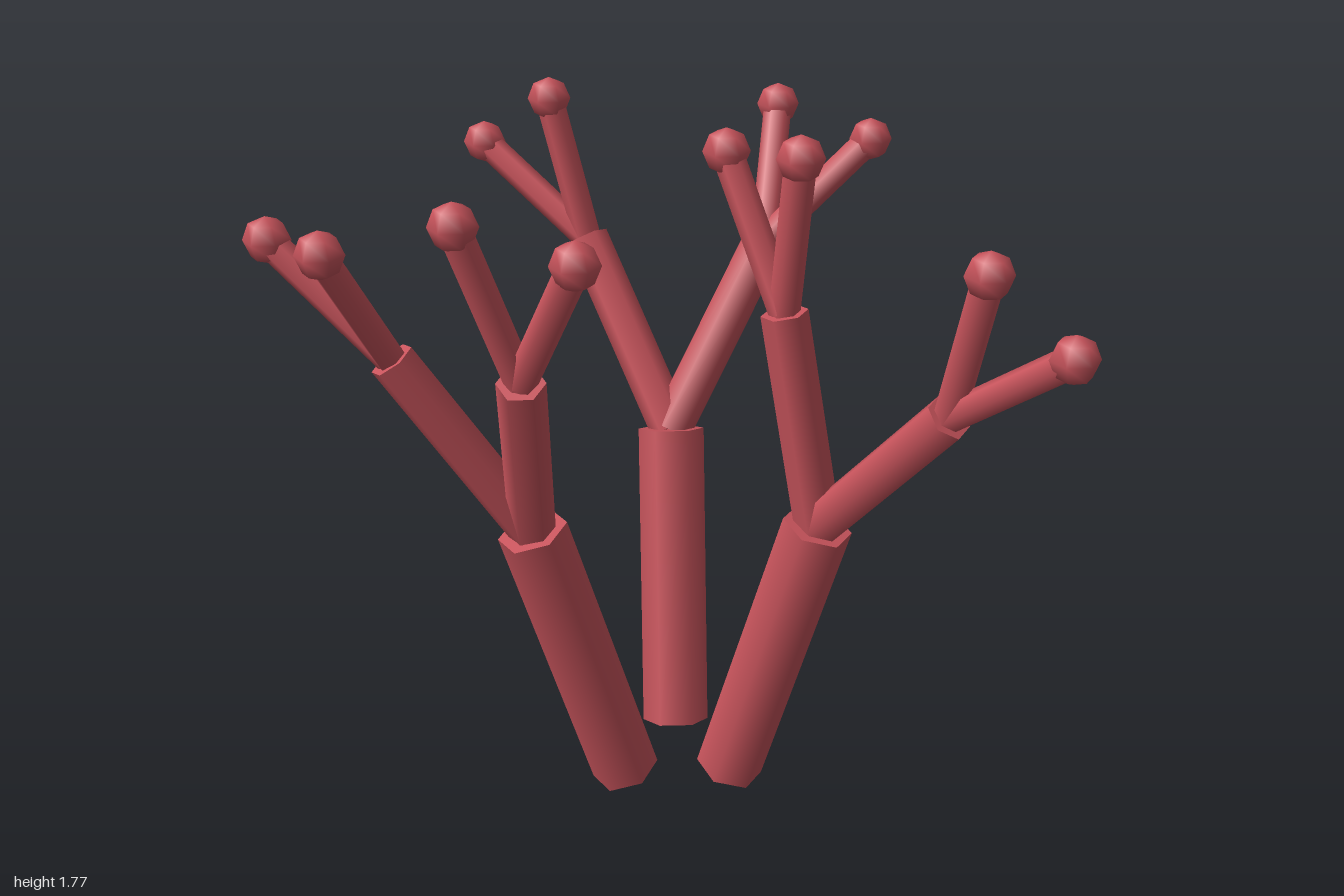
import * as THREE from 'three';

const UP = new THREE.Vector3(0, 1, 0);

export function createModel() {
  const coralRed = new THREE.MeshStandardMaterial({ color: 0xc8545c });
  coralRed.name = 'coralRed';
  const model = new THREE.Group();
  model.name = 'branchingCoral';

  // Six-sided limb running from point a to point b
  function limb(name, parent, a, b, radius) {
    const dir = b.clone().sub(a);
    const mesh = new THREE.Mesh(new THREE.CylinderGeometry(radius, radius, dir.length(), 6), coralRed);
    mesh.name = name;
    mesh.position.copy(a).add(b).multiplyScalar(0.5);
    mesh.quaternion.setFromUnitVectors(UP, dir.normalize());
    parent.add(mesh);
  }

  // Rounded polyp at the end of each twig
  const tipGeometry = new THREE.SphereGeometry(0.056, 6, 4).rotateY(Math.PI / 2);
  function tip(parent, p) {
    const mesh = new THREE.Mesh(tipGeometry, coralRed);
    mesh.name = 'tip';
    mesh.position.copy(p);
    parent.add(mesh);
  }

  // Each stem: its angle around the centre, and two forks with two tips each
  const stems = [
    { name: 'leftStem', angle: 0, forks: [
      { joint: [0.195, 1.33, 0.065], tips: [[0.02, 1.68, 0.02], [0.25, 1.715, 0.105]] },
      { joint: [0.64, 1.185, 0.137], tips: [[0.74, 1.555, 0.203], [0.945, 1.41, 0.222]] },
    ] },
    { name: 'frontStem', angle: 120, forks: [
      { joint: [-0.56, 1.25, 0.565], tips: [[-0.845, 1.51, 0.62], [-0.56, 1.57, 0.788]] },
      { joint: [-0.195, 1.27, 0.585], tips: [[-0.275, 1.65, 0.695], [0.005, 1.6, 0.665]] },
    ] },
    { name: 'backStem', angle: 240, forks: [
      { joint: [-0.17, 1.26, -0.56], tips: [[-0.25, 1.565, -0.795], [0.04, 1.515, -0.758]] },
      { joint: [-0.63, 1.24, -0.415], tips: [[-0.95, 1.462, -0.42], [-0.727, 1.613, -0.402]] },
    ] },
  ];

  // Point on a ring around the middle of the clump
  const onRing = (angle, radius, y) => {
    const t = THREE.MathUtils.degToRad(angle);
    return new THREE.Vector3(-0.12 + radius * Math.cos(t), y, 0.035 + radius * Math.sin(t));
  };

  for (const { name, angle, forks } of stems) {
    const stem = new THREE.Group();
    stem.name = name;
    const top = onRing(angle, 0.397, 0.785);
    limb('trunk', stem, onRing(angle, 0.157, 0.026), top, 0.087);
    for (const fork of forks) {
      const joint = new THREE.Vector3(...fork.joint);
      limb('branch', stem, top, joint, 0.0565);
      for (const t of fork.tips) {
        const end = new THREE.Vector3(...t);
        limb('twig', stem, joint, end, 0.037);
        tip(stem, end);
      }
    }
    model.add(stem);
  }
  return model;
}
